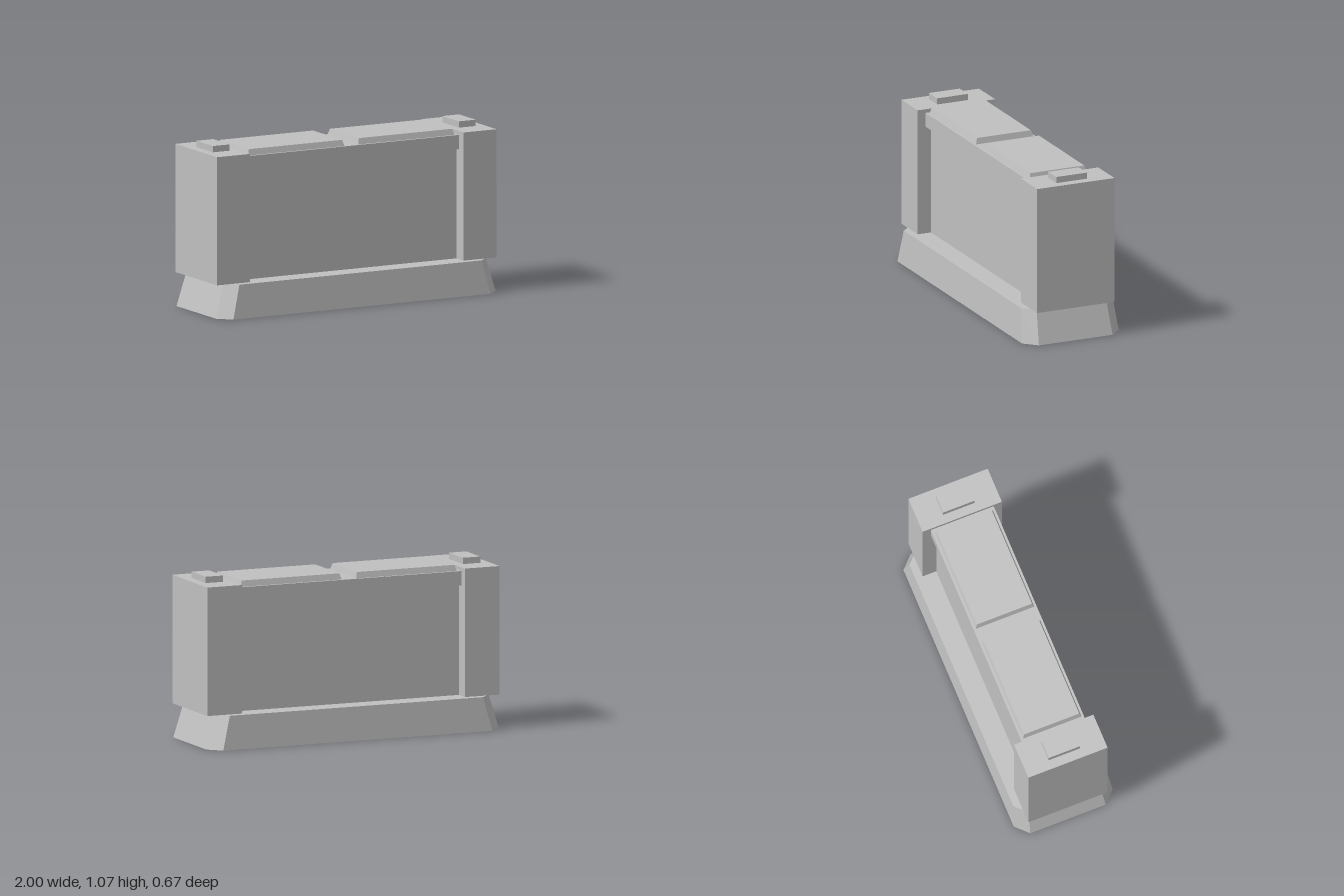
import * as THREE from 'three';

const stone = new THREE.MeshStandardMaterial({ color: 0xc0c0c0 });
stone.name = 'grey stone';

// Prism lofted between a bottom and a top ring of [x, z] points
function loft(bottom, top, y0, y1) {
  const pos = [];
  const n = bottom.length;
  const b = bottom.map(([x, z]) => [x, y0, z]);
  const t = top.map(([x, z]) => [x, y1, z]);
  for (let i = 0; i < n; i++) {
    const j = (i + 1) % n;
    pos.push(...b[i], ...t[i], ...t[j], ...b[i], ...t[j], ...b[j]);
    if (i > 0 && i < n - 1) {
      pos.push(...t[0], ...t[j], ...t[i], ...b[0], ...b[i], ...b[j]);
    }
  }
  const g = new THREE.BufferGeometry();
  g.setAttribute('position', new THREE.Float32BufferAttribute(pos, 3));
  g.computeVertexNormals();
  return g;
}

// Rectangle with cut corners: half sizes x, z and where the cuts begin
const cutRect = (x, z, cx, cz) => [
  [x, -cz], [x, cz], [cx, z], [-cx, z], [-x, cz], [-x, -cz], [-cx, -z], [cx, -z],
];
const rect = (x, z) => [[x, -z], [x, z], [-x, z], [-x, -z]];

export function createModel() {
  const model = new THREE.Group();
  model.name = 'barrier';

  const add = (name, geometry, x = 0, y = 0) => {
    const mesh = new THREE.Mesh(geometry, stone);
    mesh.name = name;
    mesh.position.set(x, y, 0);
    model.add(mesh);
  };
  const box = (name, w, y0, y1, d, x = 0) =>
    add(name, new THREE.BoxGeometry(w, y1 - y0, d), x, (y0 + y1) / 2);

  // Sloped footing with cut corners
  add('base', loft(cutRect(1, 0.333, 0.92, 0.254), cutRect(0.937, 0.314, 0.867, 0.24), 0, 0.214));

  // Recessed wall and the wider rail on top of it
  box('wall', 1.54, 0.214, 0.916, 0.35);
  box('topRail', 1.54, 0.914, 1.004, 0.424);

  for (const [side, s] of [['left', 1], ['right', -1]]) {
    // End pillar with its small cap
    box(side + 'Pillar', 0.237, 0.214, 1.028, 0.534, s * 0.8815);
    box(side + 'PillarCap', 0.12, 1.028, 1.068, 0.212, s * 0.88);
    // Bevelled top panel
    add(side + 'TopPanel', loft(rect(0.345, 0.197), rect(0.334, 0.186), 1.004, 1.042), s * 0.394);
  }
  return model;
}
